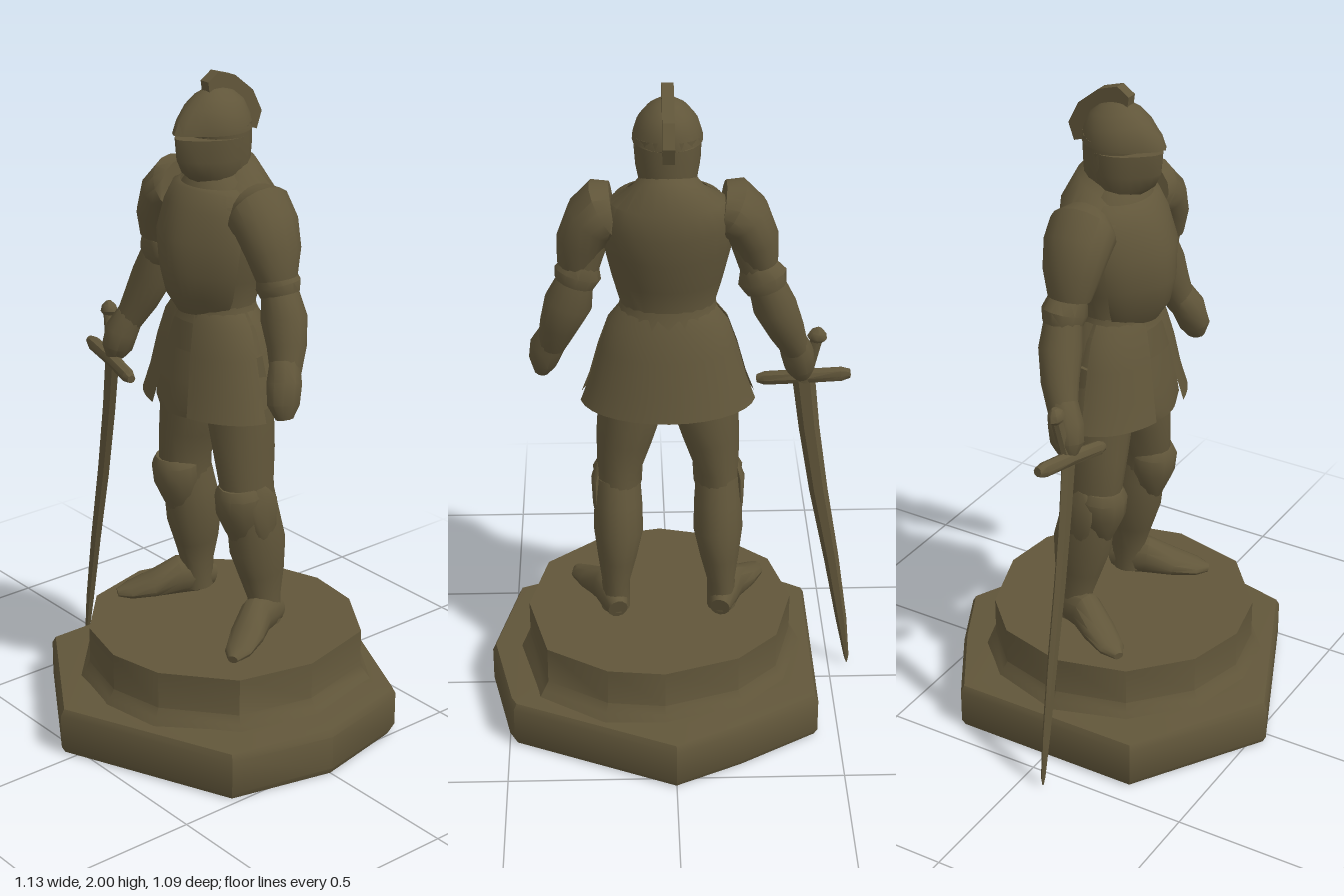
import * as THREE from 'three';
import { toCreasedNormals } from 'three/addons/utils/BufferGeometryUtils.js';

const bronze = new THREE.MeshStandardMaterial({ color: 0x61563a, side: THREE.DoubleSide });
bronze.name = 'bronze';
const CX = 0.012; // body centre line

// Skin a list of rings (arrays of Vector3), optionally closed round and capped at the ends
function skin(rings, closed = true, crease = 0.75) {
  const n = rings[0].length, pos = [], idx = [];
  rings.forEach(r => r.forEach(p => pos.push(p.x, p.y, p.z)));
  for (let i = 0; i < rings.length - 1; i++)
    for (let j = 0; j < (closed ? n : n - 1); j++) {
      const k = (j + 1) % n, a = i * n + j, b = i * n + k;
      idx.push(a, b, a + n, b, b + n, a + n);
    }
  if (closed) [0, rings.length - 1].forEach((i, end) => {
    const c = rings[i].reduce((s, p) => s.add(p), new THREE.Vector3()).divideScalar(n);
    const ci = pos.length / 3;
    pos.push(c.x, c.y, c.z);
    for (let j = 0; j < n; j++) {
      const a = i * n + j, b = i * n + (j + 1) % n;
      end ? idx.push(ci, a, b) : idx.push(ci, b, a);
    }
  });
  const g = new THREE.BufferGeometry();
  g.setAttribute('position', new THREE.Float32BufferAttribute(pos, 3));
  g.setIndex(idx);
  return toCreasedNormals(g, crease);
}

// Loft of elliptical sections [x, y, z, sideRadius, depthRadius, frontKeel]
function loft(secs, { n = 16, arc = null, taper = 0, ref = [0, 0, 1], crease = 0.75 } = {}) {
  const c = secs.map(s => new THREE.Vector3(s[0], s[1], s[2])), last = secs.length - 1;
  const rings = secs.map((s, i) => {
    const T = c[Math.min(i + 1, last)].clone().sub(c[Math.max(i - 1, 0)]).normalize();
    const V = new THREE.Vector3(...ref);
    V.addScaledVector(T, -V.dot(T)).normalize();
    const U = V.clone().cross(T), ring = [];
    const t = taper * i / last;
    const a0 = arc ? arc[0] + t : 0, a1 = arc ? arc[1] - t : 360;
    for (let j = 0; j < (arc ? n + 1 : n); j++) {
      const a = THREE.MathUtils.degToRad(a0 + (a1 - a0) * j / n), sn = Math.sin(a);
      ring.push(c[i].clone().addScaledVector(U, s[3] * Math.cos(a))
        .addScaledVector(V, s[4] * sn + (s[5] || 0) * Math.max(0, sn) ** 8));
    }
    return ring;
  });
  return skin(rings, !arc, crease);
}

// Polygon outline stacked in layers [scale, y]
function stack(outline, layers, cx) {
  const pts = outline.slice().reverse();
  return skin(layers.map(([s, y]) => pts.map(([x, z]) => new THREE.Vector3(cx + (x - cx) * s, y, z * s))), true, 0.6);
}

export function createModel() {
  const root = new THREE.Group();
  root.name = 'armouredFigure';
  const add = (name, geo) => {
    const m = new THREE.Mesh(geo, bronze);
    m.name = name;
    root.add(m);
    return m;
  };
  const mirrored = (secs, s) => secs.map(([x, ...r]) => [CX + s * x, ...r]);

  // Stepped pedestal
  add('plinth', stack([[0, -0.545], [0.485, -0.32], [0.5, -0.29], [0.56, 0], [0.485, 0.32], [-0.04, 0.545],
    [-0.435, 0.295], [-0.435, -0.3], [-0.2, -0.445]], [[0.98, 0], [1, 0.02], [1, 0.125], [0.98, 0.145], [0.8, 0.155]], 0.05));
  add('pedestalStep', stack([[0.03, -0.405], [0.2, -0.385], [0.38, -0.27], [0.44, -0.02], [0.385, 0.21], [0.2, 0.365],
    [0.03, 0.4], [-0.15, 0.355], [-0.31, 0.21], [-0.365, 0], [-0.31, -0.21], [-0.19, -0.33]],
    [[1.09, 0.14], [1.04, 0.17], [1, 0.195], [1, 0.31]], 0.035));

  // Torso with keeled breastplate
  add('torso', loft([[CX, 1.2, 0, 0.15, 0.11], [CX, 1.33, 0, 0.135, 0.1], [CX, 1.42, 0, 0.16, 0.125],
    [CX, 1.53, -0.005, 0.185, 0.145], [CX, 1.62, -0.03, 0.19, 0.135], [CX, 1.67, -0.04, 0.165, 0.12],
    [CX, 1.71, -0.03, 0.1, 0.1], [CX, 1.74, -0.01, 0.07, 0.07]], { n: 24 }));
  add('breastplate', loft([[CX, 1.315, 0.015, 0.115, 0.085, 0.02], [CX, 1.37, 0.015, 0.15, 0.115, 0.025],
    [CX, 1.44, 0.015, 0.172, 0.13, 0.025], [CX, 1.52, 0.01, 0.187, 0.14, 0.018], [CX, 1.6, -0.01, 0.18, 0.135, 0.008],
    [CX, 1.665, -0.02, 0.155, 0.12], [CX, 1.685, -0.02, 0.12, 0.11]], { n: 20, arc: [18, 162] }));
  add('collar', loft([[CX, 1.665, -0.01, 0.12, 0.105], [CX, 1.69, -0.01, 0.105, 0.1], [CX, 1.72, -0.005, 0.08, 0.08]]));
  add('belt', loft([[CX, 1.29, 0, 0.158, 0.118], [CX, 1.32, 0, 0.142, 0.108], [CX, 1.345, 0, 0.138, 0.104]], { n: 20 }));

  // Armoured skirt: inner layer, then hanging plates
  add('innerSkirt', loft([[CX, 1.05, 0, 0.222, 0.145], [CX, 1.2, 0, 0.185, 0.125], [CX, 1.31, 0, 0.14, 0.105]], { n: 20 }));
  const skirt = [[CX, 1.325, 0, 0.14, 0.105], [CX, 1.28, 0, 0.175, 0.122], [CX, 1.2, 0, 0.203, 0.142],
    [CX, 1.1, 0, 0.23, 0.16], [CX, 1.025, 0, 0.258, 0.178]];
  [[2, 76], [104, 178], [183, 357]].forEach((arc, i) =>
    add(['leftFrontTasset', 'rightFrontTasset', 'rearTasset'][i], loft(skirt, { n: 14, arc, taper: 4 })));
  add('frontFlap', loft([[CX, 1.21, 0.005, 0.19, 0.132], [CX, 1.12, 0.005, 0.21, 0.148], [CX, 1.05, 0.005, 0.225, 0.158],
    [CX, 1.015, 0.005, 0.16, 0.16]], { n: 8, arc: [68, 112] }));

  // Helmet: face guard, recessed eye slit, dome with brim
  add('faceGuard', loft([[CX, 1.665, 0.02, 0.045, 0.06, 0.02], [CX, 1.7, 0.0, 0.078, 0.09, 0.025],
    [CX, 1.76, 0, 0.09, 0.1, 0.03], [CX, 1.825, 0, 0.095, 0.104, 0.032]], { n: 24 }));
  add('eyeSlit', loft([[CX, 1.8, -0.01, 0.085, 0.092], [CX, 1.86, -0.01, 0.085, 0.092]], { n: 20 }));
  add('helmetDome', loft([[CX, 1.838, -0.002, 0.099, 0.108, 0.04], [CX, 1.853, -0.002, 0.098, 0.108, 0.024],
    [CX, 1.89, -0.01, 0.087, 0.098, 0.006], [CX, 1.925, -0.015, 0.062, 0.075],
    [CX, 1.947, -0.018, 0.032, 0.042], [CX, 1.955, -0.02, 0.006, 0.01]], { n: 24 }));
  add('helmetBack', loft([[CX, 1.72, -0.03, 0.08, 0.075], [CX, 1.79, -0.02, 0.092, 0.088], [CX, 1.85, -0.012, 0.094, 0.096]]));
  const crest = new THREE.Shape([[0.037, 1.975], [0.0, 2.0], [-0.06, 1.982], [-0.125, 1.93], [-0.158, 1.865], [-0.14, 1.815],
    [-0.095, 1.83], [-0.08, 1.89], [0, 1.93], [0.03, 1.925]].map(p => new THREE.Vector2(...p)));
  const crestGeo = new THREE.ExtrudeGeometry(crest, { depth: 0.034, bevelEnabled: false });
  add('helmetCrest', crestGeo.rotateY(-Math.PI / 2).translate(CX + 0.017, 0, 0));

  // Shoulders, legs and feet on both sides
  for (const [s, side] of [[1, 'left'], [-1, 'right']]) {
    add(side + 'Pauldron', loft(mirrored([[0.155, 1.635, -0.015, 0.075, 0.085], [0.175, 1.632, -0.015, 0.092, 0.1],
      [0.215, 1.6, -0.01, 0.08, 0.1], [0.25, 1.53, -0.008, 0.068, 0.086], [0.264, 1.46, -0.008, 0.052, 0.064]], s)));
    add(side + 'Thigh', loft(mirrored([[0.1, 1.2, 0, 0.095, 0.1], [0.108, 1.0, -0.008, 0.098, 0.1],
      [0.128, 0.9, -0.006, 0.085, 0.096], [0.146, 0.79, -0.004, 0.066, 0.088], [0.15, 0.7, -0.015, 0.066, 0.08]], s)));
    add(side + 'Greave', loft(mirrored([[0.15, 0.76, -0.01, 0.066, 0.08], [0.15, 0.68, -0.025, 0.072, 0.085],
      [0.15, 0.59, -0.042, 0.074, 0.092], [0.155, 0.5, -0.055, 0.058, 0.075], [0.16, 0.42, -0.062, 0.042, 0.056],
      [0.162, 0.33, -0.065, 0.044, 0.05]], s)));
    add(side + 'KneeGuard', loft(mirrored([[0.15, 0.8, 0.03, 0.06, 0.06], [0.15, 0.775, 0.028, 0.075, 0.074],
      [0.148, 0.72, 0.025, 0.07, 0.072], [0.148, 0.655, 0.015, 0.05, 0.052], [0.148, 0.6, 0.01, 0.015, 0.03]], s), { n: 12 }));
    add(side + 'KneeWing', loft(mirrored([[0.205, 0.8, -0.005, 0.008, 0.02], [0.216, 0.755, -0.01, 0.014, 0.05],
      [0.216, 0.67, -0.02, 0.01, 0.04], [0.212, 0.62, -0.02, 0.005, 0.01]], s), { n: 8 }));
    add(side + 'Boot', loft(mirrored([[0.155, 0.35, -0.118, 0.035, 0.03], [0.165, 0.365, -0.07, 0.06, 0.046],
      [0.185, 0.37, -0.01, 0.062, 0.05], [0.225, 0.345, 0.06, 0.038, 0.054], [0.262, 0.328, 0.125, 0.022, 0.042],
      [0.28, 0.322, 0.16, 0.012, 0.016]], s), { ref: [1, 0, 0], n: 12 }));
  }

  // Left arm, hanging with a closed fist
  add('leftUpperArm', loft([[0.22, 1.6, -0.01, 0.06, 0.065], [0.275, 1.4, -0.02, 0.05, 0.05]]));
  add('leftElbowGuard', loft([[0.256, 1.475, -0.015, 0.05, 0.055], [0.268, 1.438, -0.02, 0.069, 0.064],
    [0.277, 1.41, -0.02, 0.06, 0.056]], { n: 12 }));
  add('leftForearm', loft([[0.272, 1.43, -0.02, 0.05, 0.052], [0.297, 1.345, -0.018, 0.07, 0.064],
    [0.325, 1.27, -0.005, 0.057, 0.056], [0.35, 1.19, 0.02, 0.042, 0.042]]));
  add('leftHand', loft([[0.34, 1.23, 0.015, 0.046, 0.044], [0.362, 1.18, 0.035, 0.052, 0.052],
    [0.375, 1.125, 0.048, 0.044, 0.05], [0.383, 1.085, 0.05, 0.022, 0.028]], { n: 10 }));

  // Right arm, reaching out to the sword
  add('rightUpperArm', loft([[-0.2, 1.6, -0.01, 0.06, 0.065], [-0.26, 1.4, -0.02, 0.05, 0.05]]));
  add('rightElbowGuard', loft([[-0.242, 1.46, -0.015, 0.05, 0.055], [-0.258, 1.418, -0.02, 0.073, 0.064],
    [-0.268, 1.385, -0.02, 0.062, 0.056]], { n: 12 }));
  add('rightForearm', loft([[-0.262, 1.42, -0.02, 0.05, 0.052], [-0.296, 1.32, -0.012, 0.064, 0.062],
    [-0.332, 1.235, 0.008, 0.054, 0.054], [-0.362, 1.16, 0.035, 0.04, 0.042]]));
  add('rightHand', loft([[-0.352, 1.19, 0.03, 0.042, 0.042], [-0.372, 1.135, 0.05, 0.05, 0.052],
    [-0.382, 1.085, 0.06, 0.046, 0.05], [-0.388, 1.05, 0.065, 0.024, 0.03]], { n: 10 }));

  // Sword resting point down
  add('swordGrip', loft([[-0.394, 1.03, 0.07, 0.02, 0.018], [-0.428, 1.18, 0.055, 0.018, 0.018]], { n: 8 }));
  add('swordPommel', loft([[-0.425, 1.165, 0.056, 0.014, 0.014], [-0.428, 1.182, 0.055, 0.03, 0.024],
    [-0.431, 1.2, 0.053, 0.024, 0.02], [-0.433, 1.213, 0.052, 0.008, 0.008]], { n: 8 }));
  add('swordGuard', loft([[-0.53, 1.06, 0.055, 0.014, 0.014], [-0.505, 1.056, 0.06, 0.023, 0.02],
    [-0.395, 1.042, 0.075, 0.022, 0.022], [-0.28, 1.025, 0.098, 0.022, 0.02], [-0.257, 1.022, 0.103, 0.013, 0.013]], { n: 8 }));
  add('swordBlade', loft([[-0.394, 1.04, 0.072, 0.034, 0.014], [-0.415, 0.87, 0.072, 0.031, 0.013],
    [-0.45, 0.65, 0.072, 0.028, 0.013], [-0.498, 0.4, 0.072, 0.023, 0.012], [-0.537, 0.17, 0.072, 0.017, 0.01],
    [-0.558, 0.03, 0.072, 0.008, 0.006], [-0.56, 0.004, 0.072, 0.002, 0.002]], { n: 6, crease: 0.5 }));

  return root;
}
